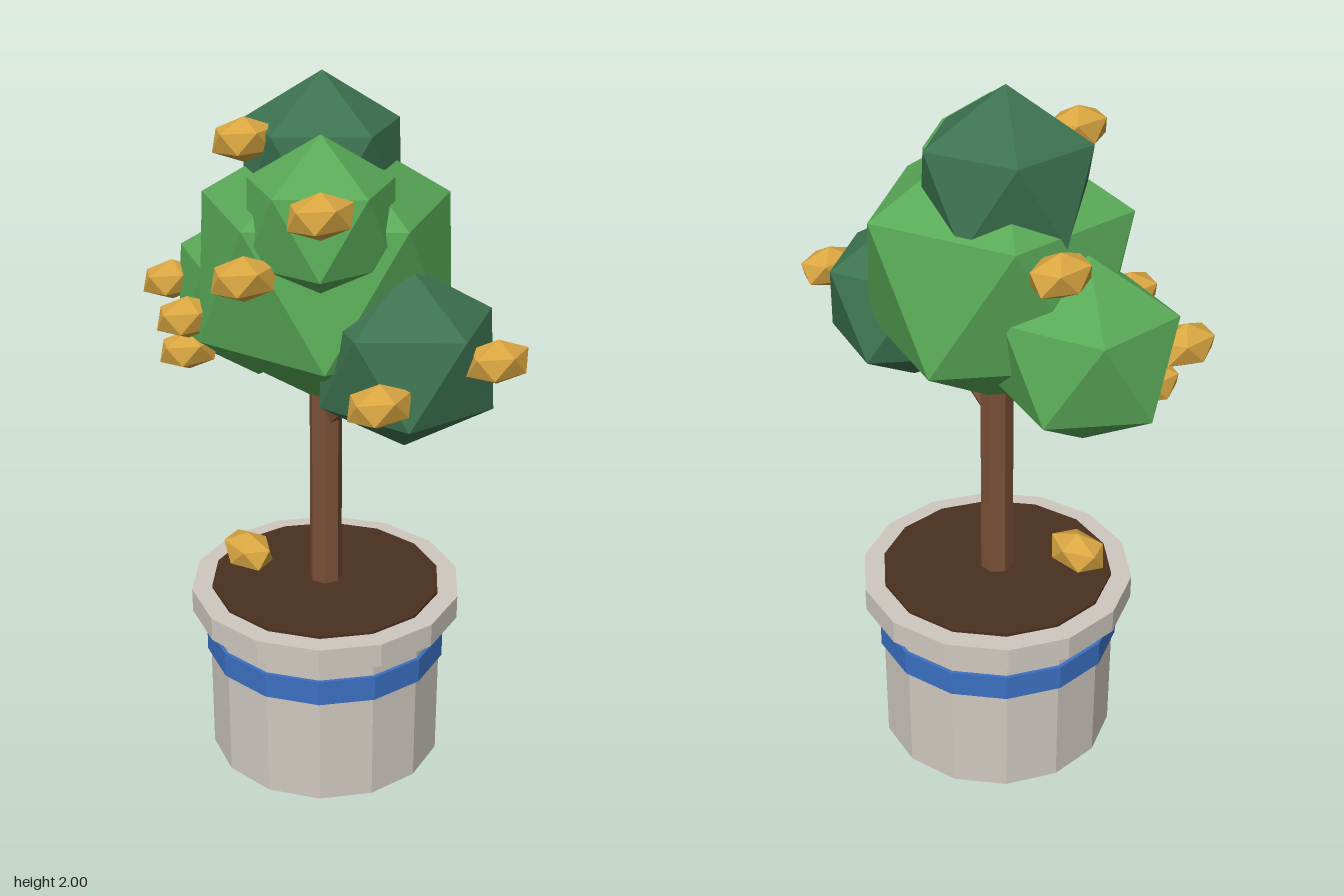
import * as THREE from 'three';

const mat = (name, color) => {
  const m = new THREE.MeshStandardMaterial({ color, flatShading: true });
  m.name = name;
  return m;
};

export function createModel() {
  const stone = mat('stone', 0xcfc8c0);
  const blue = mat('blue glaze', 0x3b70c2);
  const earth = mat('earth', 0x4a3020);
  const bark = mat('bark', 0x7a5037);
  const leafLight = mat('light leaf', 0x59a957);
  const leafDark = mat('dark leaf', 0x3d7350);
  const gold = mat('fruit gold', 0xd9a641);

  const group = new THREE.Group();
  const CX = -0.03, CZ = -0.022; // axis of pot and trunk
  const add = (name, geo, material, x, y, z) => {
    const mesh = new THREE.Mesh(geo, material);
    mesh.name = name;
    mesh.position.set(x, y, z);
    group.add(mesh);
    return mesh;
  };
  const drum = (name, material, r, y0, y1, sides = 14) =>
    add(name, new THREE.CylinderGeometry(r, r, y1 - y0, sides), material, CX, (y0 + y1) / 2, CZ);

  // Pot, band, rim and soil
  drum('pot', stone, 0.345, 0, 0.48);
  drum('potBand', blue, 0.355, 0.33, 0.405);
  drum('potRim', stone, 0.395, 0.465, 0.535);
  drum('soil', earth, 0.336, 0.5, 0.543);

  // Trunk and the side branch reaching into the foliage
  drum('trunk', bark, 0.047, 0.53, 1.4, 7);
  const from = new THREE.Vector3(CX, 1.05, CZ), to = new THREE.Vector3(0.22, 1.29, -0.05);
  const dir = to.clone().sub(from);
  const mid = from.clone().add(to).multiplyScalar(0.5);
  const branch = add('branch', new THREE.CylinderGeometry(0.026, 0.03, dir.length(), 6), bark, mid.x, mid.y, mid.z);
  branch.quaternion.setFromUnitVectors(new THREE.Vector3(0, 1, 0), dir.normalize());

  // Icosahedron standing on a corner, with an upper-ring corner toward +x
  const ico = new THREE.IcosahedronGeometry(1, 0);
  ico.rotateX(-Math.atan((1 + Math.sqrt(5)) / 2));
  ico.rotateY(Math.PI / 2);

  // Foliage: position, horizontal radius, vertical radius
  const clumps = [
    ['foliageCentre', leafLight, -0.03, 1.495, -0.022, 0.395, 0.395],
    ['foliageLeftLobe', leafDark, 0.275, 1.32, -0.06, 0.263, 0.25],
    ['foliageRightLobe', leafLight, -0.333, 1.35, 0.003, 0.26, 0.26],
    ['foliageTop', leafDark, -0.103, 1.753, -0.062, 0.245, 0.247],
    ['foliageFrontLobe', leafLight, 0.126, 1.675, 0.105, 0.22, 0.22],
  ];
  for (const [name, m, x, y, z, r, ry] of clumps) add(name, ico, m, x, y, z).scale.set(r, ry, r);

  // Fruit on the tree, plus one fallen on the soil
  const fruits = [
    [-0.125, 1.845, 0.168], [0.29, 1.745, 0.222], [0.115, 1.565, 0.33],
    [-0.203, 1.37, 0.31], [-0.377, 1.615, -0.14], [-0.51, 1.37, 0.18],
    [-0.38, 1.2, 0.208], [0.425, 1.285, 0.142], [0.51, 1.36, -0.163],
  ];
  for (const [x, y, z] of fruits) add('fruit', ico, gold, x, y, z).scale.set(0.07, 0.059, 0.1);
  const fallen = add('fallenFruit', ico, gold, -0.205, 0.602, 0.135);
  fallen.scale.set(0.07, 0.059, 0.1);
  fallen.rotation.y = Math.PI / 2;

  return group;
}
